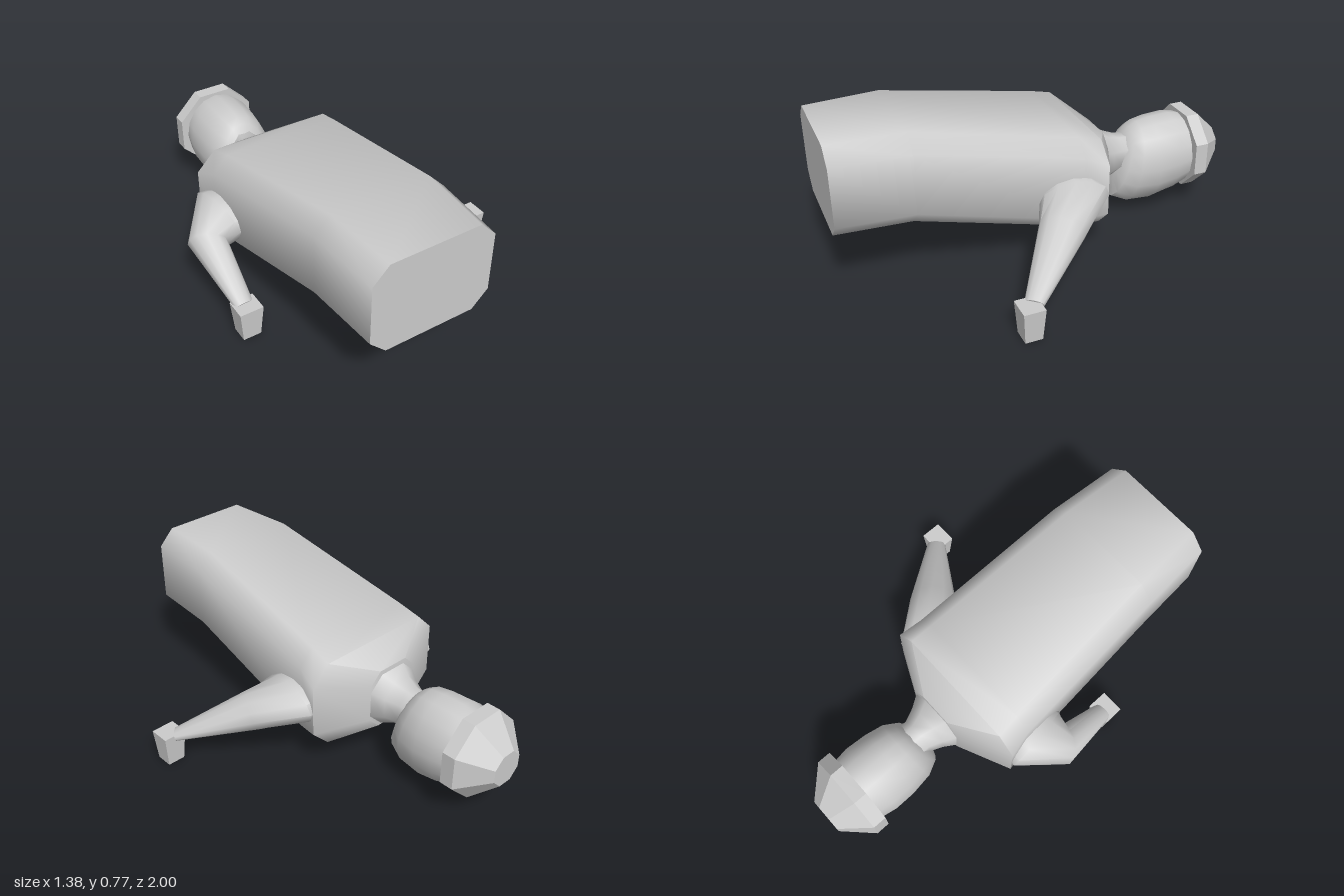
import * as THREE from 'three';
import { toCreasedNormals } from 'three/addons/utils/BufferGeometryUtils.js';

const CX = -0.14; // centre line of the torso and head

// Skin a list of equal-length rings of points, close both ends, face outwards
function loft(rings, crease) {
  const pos = [];
  const tri = (a, b, c) => pos.push(...a.toArray(), ...b.toArray(), ...c.toArray());
  const n = rings[0].length;
  for (let r = 0; r < rings.length - 1; r++) {
    for (let i = 0; i < n; i++) {
      const j = (i + 1) % n, A = rings[r], B = rings[r + 1];
      tri(A[i], A[j], B[j]);
      tri(A[i], B[j], B[i]);
    }
  }
  const cap = (ring, flip) => {
    const c = new THREE.Vector3();
    ring.forEach((p) => c.addScaledVector(p, 1 / n));
    for (let i = 0; i < n; i++) {
      const a = ring[i], b = ring[(i + 1) % n];
      flip ? tri(c, b, a) : tri(c, a, b);
    }
  };
  cap(rings[0], true);
  cap(rings[rings.length - 1], false);
  // A negative volume means the faces point inwards
  let volume = 0;
  const v = (i) => new THREE.Vector3().fromArray(pos, i);
  for (let i = 0; i < pos.length; i += 9) volume += v(i).dot(v(i + 3).cross(v(i + 6)));
  if (volume < 0) {
    for (let i = 0; i < pos.length; i += 9) {
      for (let k = 3; k < 6; k++) [pos[i + k], pos[i + k + 3]] = [pos[i + k + 3], pos[i + k]];
    }
  }
  const g = new THREE.BufferGeometry();
  g.setAttribute('position', new THREE.Float32BufferAttribute(pos, 3));
  return toCreasedNormals(g, crease);
}

// Rectangle with cut corners, across z
function cutBox(z, half, y0, y1, cut) {
  const outline = [
    [half - cut, y1], [half, y1 - cut], [half, y0 + cut], [half - cut, y0],
    [cut - half, y0], [-half, y0 + cut], [-half, y1 - cut], [cut - half, y1],
  ];
  return outline.map(([x, y]) => new THREE.Vector3(CX + x, y, z));
}

// Oval whose lower and upper ends may sit at different z
function oval(zLow, zHigh, y0, y1, half, n = 16) {
  return Array.from({ length: n }, (_, i) => {
    const a = (i / n) * Math.PI * 2, t = (1 + Math.cos(a)) / 2;
    return new THREE.Vector3(
      CX + Math.sin(a) * half, y0 + (y1 - y0) * t, zLow + (zHigh - zLow) * t);
  });
}

// Oval round a point of a limb, square to a given direction
function limbRing([x, y, z], dir, across, upright, n = 12) {
  const t = new THREE.Vector3(...dir).normalize();
  const u = new THREE.Vector3(t.z, 0, -t.x).normalize();
  const w = new THREE.Vector3().crossVectors(t, u);
  return Array.from({ length: n }, (_, i) => {
    const a = (i / n) * Math.PI * 2;
    return new THREE.Vector3(x, y, z)
      .addScaledVector(u, Math.cos(a) * across)
      .addScaledVector(w, Math.sin(a) * upright);
  });
}

export function createModel() {
  const model = new THREE.Group();
  model.name = 'lyingFigure';
  const grey = new THREE.MeshStandardMaterial({ color: 0xcccccc });
  grey.name = 'plain grey';
  const add = (name, geometry) => {
    const mesh = new THREE.Mesh(geometry, grey);
    mesh.name = name;
    model.add(mesh);
  };

  // Torso from the waist end to the collar
  add('torso', loft([
    cutBox(1, 0.285, 0.335, 0.765, 0.075),
    cutBox(0.65, 0.31, 0.335, 0.767, 0.075),
    cutBox(-0.12, 0.355, 0.145, 0.61, 0.075),
    cutBox(-0.23, 0.38, 0.15, 0.58, 0.09),
    cutBox(-0.345, 0.14, 0.2, 0.5, 0.06),
  ], 0.9));

  // Neck
  add('neck', loft([
    cutBox(-0.34, 0.14, 0.21, 0.48, 0.07),
    cutBox(-0.4, 0.105, 0.23, 0.445, 0.06),
    cutBox(-0.46, 0.08, 0.24, 0.425, 0.05),
    cutBox(-0.54, 0.08, 0.24, 0.42, 0.05),
  ], 0.9));

  // Head with the face downwards and the chin towards the torso
  add('head', loft([
    oval(-0.415, -0.485, 0.19, 0.41, 0.07),
    oval(-0.42, -0.53, 0.1, 0.46, 0.12),
    oval(-0.5, -0.57, 0.062, 0.482, 0.155),
    oval(-0.63, -0.64, 0.055, 0.493, 0.172),
    oval(-0.73, -0.75, 0.08, 0.497, 0.177),
    oval(-0.83, -0.83, 0.12, 0.48, 0.163),
  ], 0.95));

  // Eight-sided cap: straight band and tapered crown
  add('cap', loft([
    cutBox(-0.81, 0.195, 0.11, 0.498, 0.114),
    cutBox(-0.875, 0.195, 0.11, 0.498, 0.114),
    cutBox(-1, 0.08, 0.225, 0.378, 0.046),
  ], 0.3));

  // Arms: the left reaches out, the right bends at the elbow
  add('leftArm', loft([
    limbRing([0.15, 0.35, -0.07], [1, 0, 0.05], 0.15, 0.1),
    limbRing([0.225, 0.35, -0.065], [1, -0.2, 0.15], 0.165, 0.1),
    limbRing([0.345, 0.285, 0.05], [1, -0.5, 0.9], 0.11, 0.09),
    limbRing([0.615, 0.143, 0.3], [1, -0.5, 0.9], 0.045, 0.022),
  ], 1));
  add('rightArm', loft([
    limbRing([-0.43, 0.35, -0.07], [-1, 0, 0.05], 0.15, 0.1),
    limbRing([-0.51, 0.35, -0.065], [-1, -0.2, 0.15], 0.165, 0.1),
    limbRing([-0.61, 0.29, 0.02], [-0.4, -0.4, 0.8], 0.09, 0.095),
    limbRing([-0.595, 0.143, 0.31], [0.05, -0.45, 0.9], 0.045, 0.022),
  ], 1));

  // Block hands, narrower at the bottom
  for (const [name, x] of [['leftHand', 0.635], ['rightHand', -0.592]]) {
    const g = new THREE.BoxGeometry(0.112, 0.155, 0.1).toNonIndexed();
    const p = g.attributes.position;
    for (let i = 0; i < p.count; i++) {
      if (p.getY(i) < 0) p.setXYZ(i, p.getX(i) * 0.76, p.getY(i), p.getZ(i) * 0.8);
    }
    g.computeVertexNormals();
    g.translate(x, 0.0775, 0.328);
    add(name, g);
  }
  return model;
}
